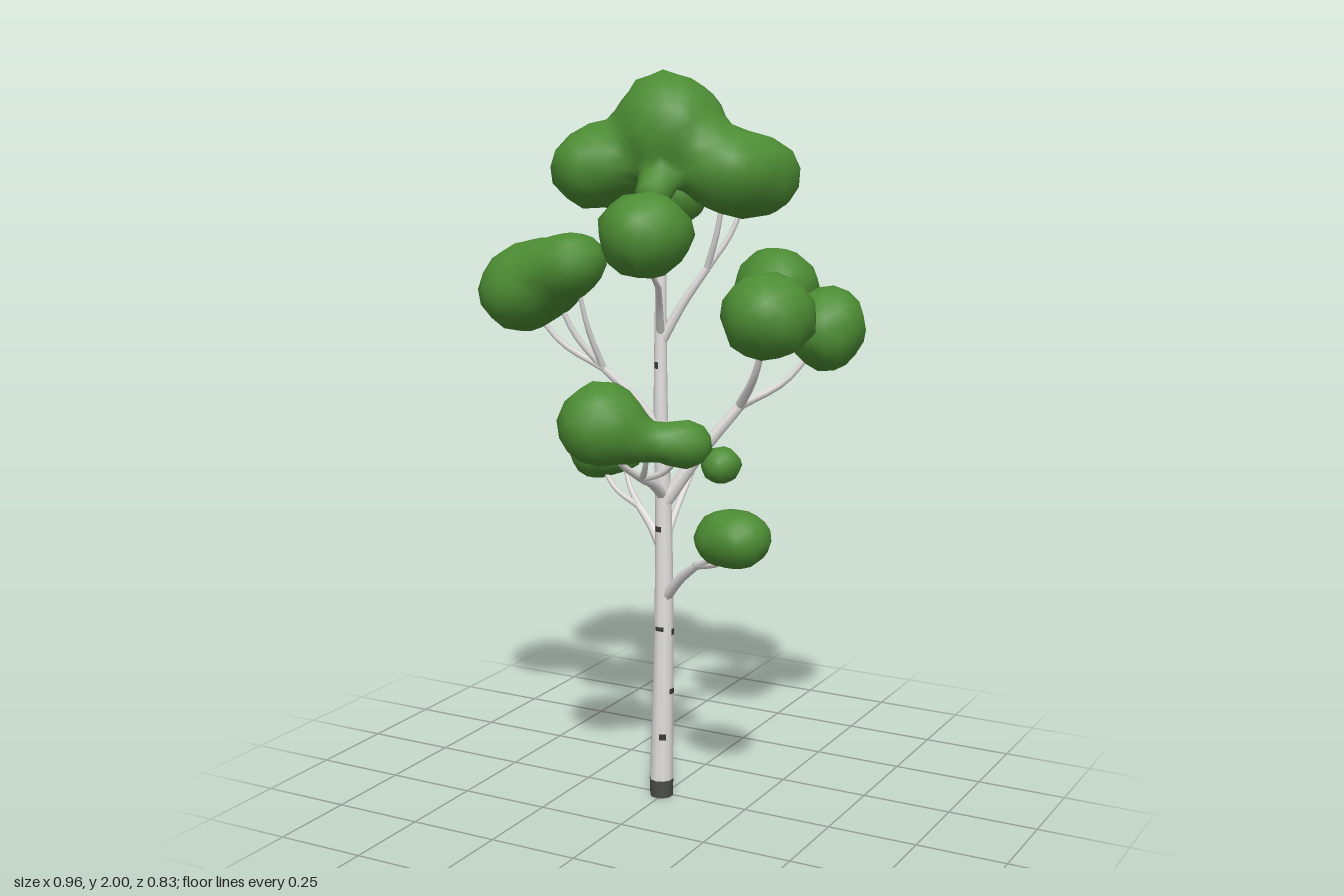
import * as THREE from 'three';
import { mergeVertices } from 'three/addons/utils/BufferGeometryUtils.js';

const vec = (x, y, z) => new THREE.Vector3(x, y, z);

// Tapered limb: a tube whose rings narrow from radius r0 to r1
function limbGeometry(curve, r0, r1, segments, sides) {
  const geo = new THREE.TubeGeometry(curve, segments, 1, sides, false);
  const pos = geo.attributes.position;
  const p = vec(0, 0, 0);
  for (let i = 0; i < pos.count; i++) {
    const t = Math.floor(i / (sides + 1)) / segments;
    const c = curve.getPointAt(t);
    p.fromBufferAttribute(pos, i).sub(c).multiplyScalar(r0 + (r1 - r0) * t).add(c);
    pos.setXYZ(i, p.x, p.y, p.z);
  }
  return geo;
}

// Distance to a soft blend of balls [x, y, z, radius, height radius]
function blendDistance(p, balls) {
  const k = 0.06;
  return balls.reduce((d, [x, y, z, r, ry = r * 0.96]) => {
    const b = (Math.hypot((p.x - x) / r, (p.y - y) / ry, (p.z - z) / r) - 1) * Math.min(r, ry);
    const h = Math.max(k - Math.abs(d - b), 0) / k;
    return Math.min(d, b) - h * h * k / 4;
  }, 1);
}

// Leaf mass: a coarse ball shrunk onto the blended balls, with seeded dents and soft normals
function leafGeometry(balls, seed) {
  let geo = new THREE.IcosahedronGeometry(1, Math.min(6, balls.length + 1));
  geo.deleteAttribute('normal');
  geo.deleteAttribute('uv');
  geo = mergeVertices(geo, 1e-4);
  const centre = vec(0, 0, 0);
  balls.forEach(([x, y, z]) => centre.add(vec(x, y, z).divideScalar(balls.length)));
  const pos = geo.attributes.position;
  const dir = vec(0, 0, 0);
  const p = vec(0, 0, 0);
  const roughness = balls.length > 1 ? 0.05 : 0.09;
  let s = seed * 7919 + 17;
  const rand = () => (s = (s * 16807) % 2147483647) / 2147483647;
  for (let i = 0; i < pos.count; i++) {
    dir.fromBufferAttribute(pos, i);
    let t = 0.5;
    do {
      t -= 0.002;
      p.copy(centre).addScaledVector(dir, t);
    } while (t > 0.02 && blendDistance(p, balls) > 0);
    const wave = 0.04 * Math.sin(3 * dir.x + seed) * Math.cos(3 * dir.y - 2 * dir.z + seed);
    p.copy(centre).addScaledVector(dir, t * (1 + wave + (rand() - 0.5) * roughness));
    pos.setXYZ(i, p.x, p.y, p.z);
  }
  geo.computeVertexNormals();
  return geo;
}

export function createModel() {
  const tree = new THREE.Group();
  tree.name = 'birchTree';
  const bark = new THREE.MeshStandardMaterial({ name: 'paleBark', color: 0xe4e0e0, side: THREE.DoubleSide });
  const base = new THREE.MeshStandardMaterial({ name: 'darkBase', color: 0x4c4e4a });
  const dark = new THREE.MeshStandardMaterial({ name: 'barkMark', color: 0x3a3a3a, side: THREE.DoubleSide });
  const leaf = new THREE.MeshStandardMaterial({ name: 'leafGreen', color: 0x4d8d34 });
  const add = (name, geo, mat, parent) => {
    const mesh = new THREE.Mesh(geo, mat);
    mesh.name = name;
    parent.add(mesh);
    return mesh;
  };

  // Trunk, gently bent, with a dark foot
  const trunk = new THREE.CatmullRomCurve3([vec(-0.005, 0.03, 0.012), vec(0, 0.5, 0.007),
    vec(-0.004, 0.8, 0.001), vec(-0.012, 1.1, 0.002), vec(-0.02, 1.78, -0.02)]);
  const trunkAt = (y) => trunk.getPointAt((y - 0.03) / 1.75);
  const trunkRadius = (y) => 0.033 - 0.0126 * (y - 0.03);
  add('trunk', limbGeometry(trunk, 0.033, 0.011, 24, 10), bark, tree);
  add('trunkBase', new THREE.CylinderGeometry(0.0338, 0.032, 0.05, 10), base, tree).position.set(-0.005, 0.025, 0.012);

  // Thin bark marks wrapped on the trunk: [height, facing angle]
  [[0.18, 0.5], [0.31, 1.5], [0.49, 0], [0.48, 1.6], [0.77, -0.2], [0.22, 3.4], [0.36, 4.1],
    [0.62, 3.9], [0.72, 3.2], [1.22, -0.2]].forEach(([y, angle], i) => {
    const r = trunkRadius(y) + 0.0012;
    const arc = 0.6 + 0.15 * (i % 3);
    const height = 0.018 - 0.003 * (i % 3);
    add('barkMark', new THREE.CylinderGeometry(r, r, height, 4, 1, true, angle - arc / 2, arc), dark, tree)
      .position.copy(trunkAt(y));
  });

  // Bough: leaves the trunk at a height, reaches a joint, then sends a rising twig to each tip
  const bough = (name, height, radius, joint, tips) => {
    const group = new THREE.Group();
    group.name = name;
    tree.add(group);
    const start = trunkAt(height);
    const knee = start.clone().lerp(joint, 0.5).add(vec(0, 0.01, 0));
    add('branch', limbGeometry(new THREE.CatmullRomCurve3([start, knee, joint]), radius, radius * 0.65, 8, 7), bark, group);
    tips.forEach(([x, y, z]) => {
      const tip = vec(x, y, z);
      const bend = joint.clone().lerp(tip, 0.55);
      bend.y -= 0.14 * joint.distanceTo(tip);
      const twig = new THREE.CatmullRomCurve3([joint, bend, tip]);
      add('twig', limbGeometry(twig, radius * 0.62, 0.005, 8, 6), bark, group);
    });
  };
  let seed = 0;
  const leafMass = (balls) => add('leafMass', leafGeometry(balls, ++seed), leaf, tree);

  // Lower boughs
  const lowerRight = [[0.235, 0.795, 0.12, 0.078, 0.066], [0.3, 0.805, 0.135, 0.076]];
  bough('lowerRightBough', 0.57, 0.017, vec(0.13, 0.695, 0.065), lowerRight);
  leafMass(lowerRight);
  const lowerLeft = [[-0.297, 0.93, -0.13, 0.073, 0.076], [-0.2, 0.925, -0.12, 0.052, 0.043]];
  bough('lowerLeftBough', 0.7, 0.016, vec(-0.11, 0.805, -0.055), lowerLeft);
  leafMass(lowerLeft);
  bough('rearStub', 0.72, 0.012, vec(0.01, 0.9, -0.14), []);

  // Front bough
  const front = [[-0.025, 1.11, 0.305, 0.115], [0.085, 1.06, 0.25, 0.06, 0.05], [0.17, 1.055, 0.2, 0.062, 0.066]];
  bough('frontBough', 0.86, 0.017, vec(0.005, 0.935, 0.14), front);
  leafMass(front);

  // Middle right bough with three separate masses
  const right = [0.32, 1.375, 0.03, 0.127, 0.115];
  const farRight = [0.385, 1.32, -0.195, 0.105, 0.115];
  const rearRight = [[0.215, 1.415, -0.245, 0.105, 0.1], [0.18, 1.41, -0.31, 0.108, 0.097]];
  bough('middleRightBough', 0.84, 0.022, vec(0.18, 1.11, -0.09), [right, farRight, ...rearRight]);
  [[right], [farRight], rearRight].forEach(leafMass);

  // Middle left bough
  const left = [[-0.36, 1.42, 0.14, 0.122, 0.114], [-0.27, 1.462, 0.15, 0.1], [-0.18, 1.502, 0.17, 0.088, 0.082]];
  bough('middleLeftBough', 1.04, 0.016, vec(-0.15, 1.21, 0.07), left);
  leafMass(left);

  // Upper front bough
  const upperFront = [0.07, 1.59, 0.24, 0.12, 0.11];
  bough('upperFrontBough', 1.3, 0.012, vec(0.03, 1.44, 0.09), [upperFront]);
  leafMass([upperFront]);

  // Crown, blended into one mass
  const crownRight = [[0.2, 1.725, -0.115, 0.117], [0.17, 1.735, -0.02, 0.11]];
  const crownLeft = [[-0.18, 1.735, -0.1, 0.124], [-0.185, 1.745, 0.04, 0.12, 0.112]];
  const crownTop = [[0, 1.84, -0.03, 0.155, 0.15], [0.03, 1.69, 0.11, 0.05]];
  const crownRear = [-0.06, 1.665, -0.17, 0.088];
  bough('upperRightBough', 1.28, 0.015, vec(0.1, 1.48, -0.05), crownRight);
  bough('upperLeftBough', 1.42, 0.012, vec(-0.1, 1.54, -0.02), crownLeft);
  bough('upperRearBough', 1.46, 0.01, vec(-0.03, 1.56, -0.08), [crownRear]);
  bough('crownBough', 1.5, 0.01, vec(0.01, 1.6, 0.02), crownTop);
  leafMass([...crownTop, ...crownLeft, ...crownRight]);
  leafMass([crownRear]);

  // Loose clump at the rear
  leafMass([[0.01, 0.885, -0.318, 0.058, 0.055]]);

  return tree;
}
